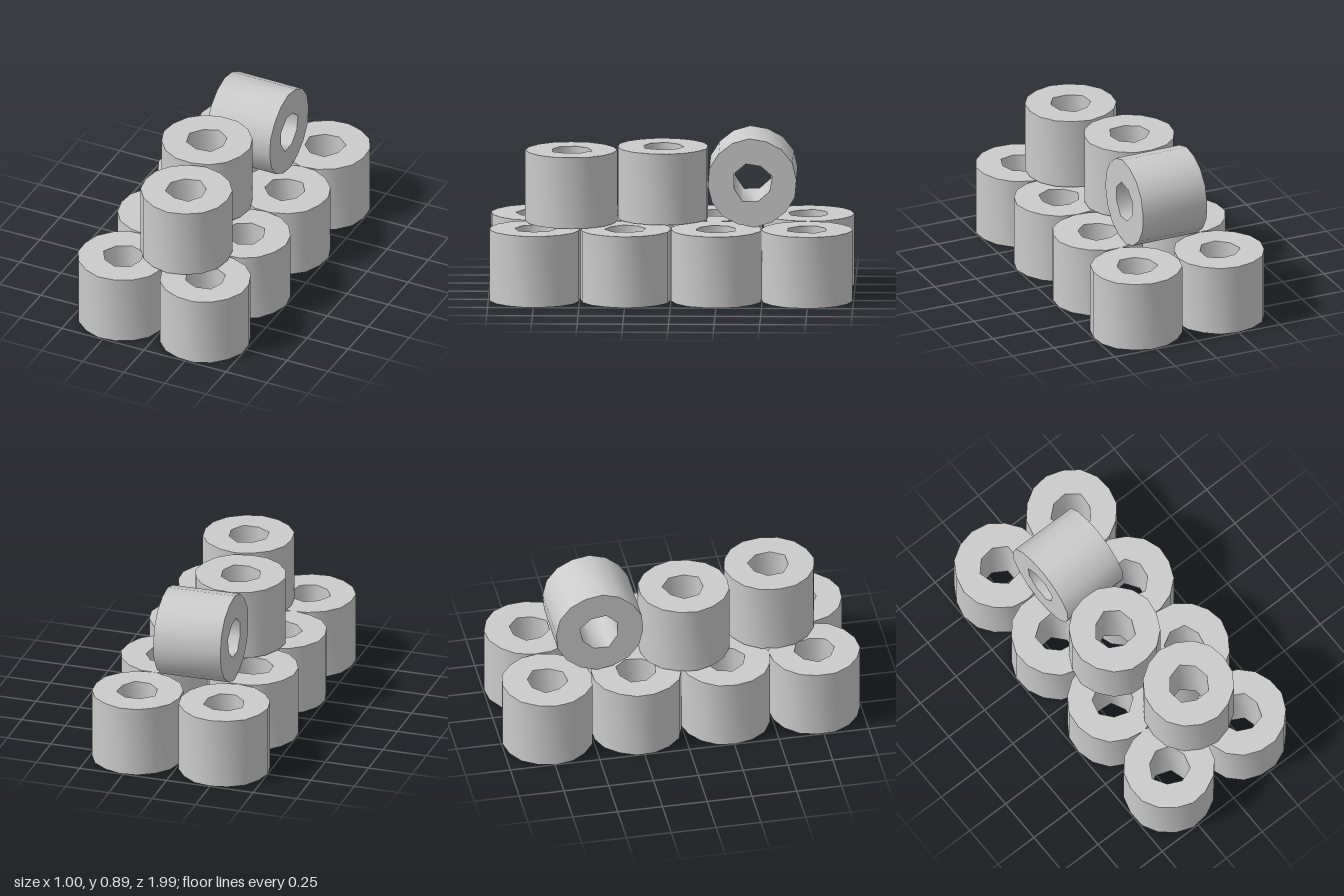
import * as THREE from 'three';
import { toCreasedNormals } from 'three/addons/utils/BufferGeometryUtils.js';

const OUTER = 0.25, HOLE = 0.112, LENGTH = 0.395;

// Slightly uneven ring of points, the unevenness varying with the seed
function ring(radius, sides, wobble, seed) {
  return Array.from({ length: sides }, (_, i) => {
    const a = (i / sides) * Math.PI * 2 + seed * 0.7;
    const r = radius * (1 + wobble * Math.sin(i * 2.4 + seed * 1.9));
    return new THREE.Vector2(r * Math.cos(a), r * Math.sin(a));
  });
}

// Hollow roll standing on its end, centred on the origin
function rollGeometry(seed) {
  const shape = new THREE.Shape(ring(OUTER, 16, 0.01, seed));
  shape.holes.push(new THREE.Path(ring(HOLE, 8, 0.06, seed + 3)));
  const geometry = new THREE.ExtrudeGeometry(shape, { depth: LENGTH, bevelEnabled: false });
  geometry.translate(0, 0, -LENGTH / 2);
  geometry.rotateX(-Math.PI / 2);
  return toCreasedNormals(geometry, 1.1);
}

export function createModel() {
  const group = new THREE.Group();
  const material = new THREE.MeshStandardMaterial({ color: 0xcccccc });
  let seed = 0;

  function addRoll(name, x, y, z) {
    const roll = new THREE.Mesh(rollGeometry(seed++), material);
    roll.name = name;
    roll.position.set(x, y, z);
    group.add(roll);
    return roll;
  }

  // Bottom layer: two columns of four
  for (const z of [-0.745, -0.248, 0.248, 0.745]) {
    for (const x of [-0.25, 0.25]) addRoll('bottomRoll', x, 0.203, z);
  }

  // Upper layer: two standing rolls
  addRoll('upperRoll', -0.08, 0.604, 0.05);
  addRoll('upperRoll', 0.04, 0.604, 0.55);

  // Roll lying on its side
  const lying = addRoll('lyingRoll', -0.013, 0.647, -0.443);
  lying.rotation.z = Math.PI / 2 - 0.01;
  lying.scale.set(0.98, 0.98, 0.98);

  return group;
}
